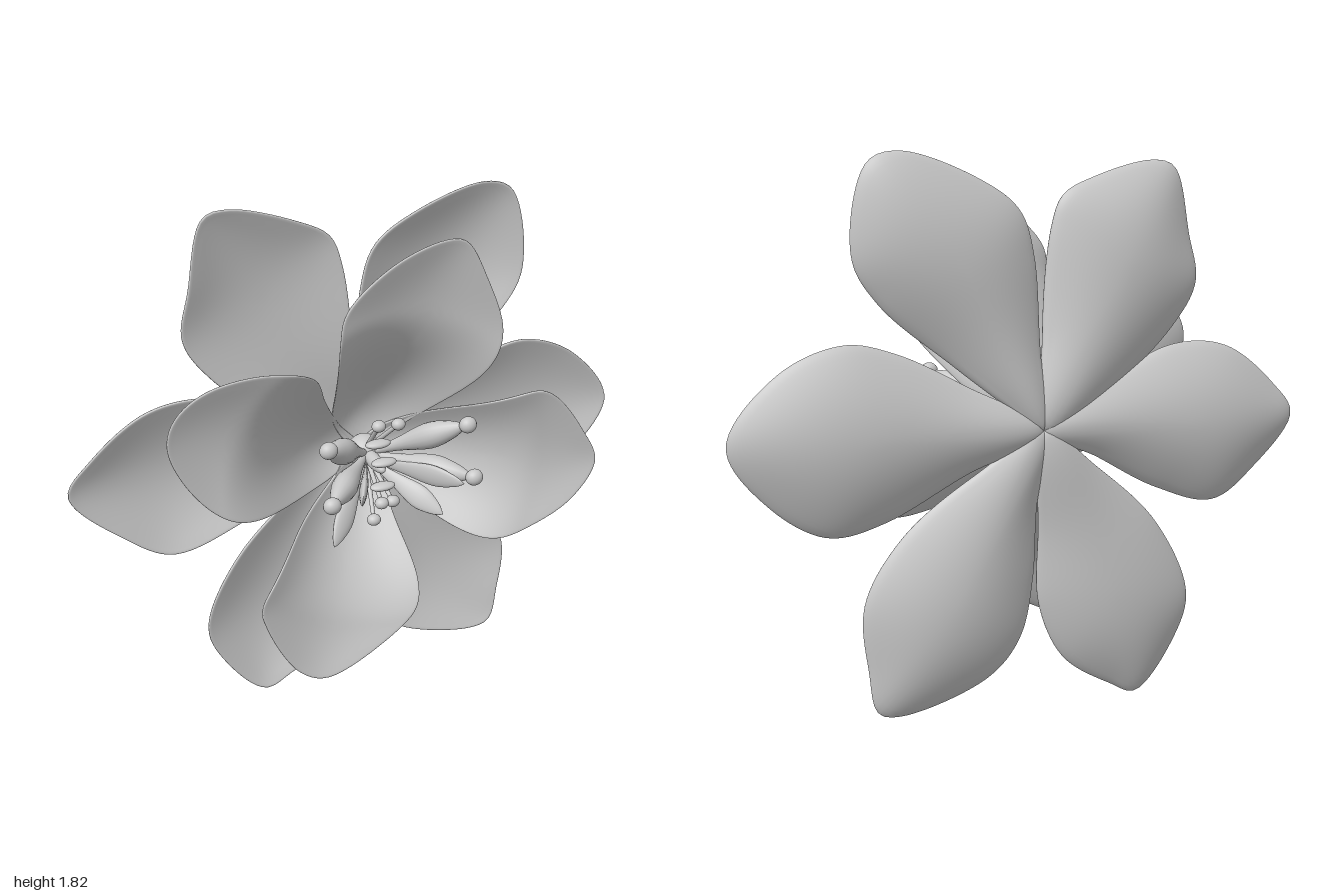
import * as THREE from 'three';
import { mergeVertices } from 'three/addons/utils/BufferGeometryUtils.js';

const HEART = new THREE.Vector3(0, 0.95, 0);

// Closed cupped shell: rings shrink from the rim to the middle on both faces.
function petalGeometry(points, rimZ, cup, thickness) {
  const pts = points.map(([x, y]) => new THREE.Vector3(x, y, 0));
  const mid = pts.reduce((a, p) => a.add(p), new THREE.Vector3()).divideScalar(pts.length);
  let rim = new THREE.CatmullRomCurve3(pts, true, 'centripetal').getSpacedPoints(96).slice(0, -1);
  if (THREE.ShapeUtils.area(rim) < 0) rim = rim.reverse();
  // Smooth inner height: zero on the rim, a soft dome inside
  const dome = (x, y) => 1 / rim.reduce((sum, q) => sum + 1 / ((q.x - x) ** 2 + (q.y - y) ** 2 + 1e-9), 0);
  const top = dome(mid.x, mid.y);
  const n = rim.length, rows = 32, pos = [], idx = [];
  for (let i = 0; i <= rows; i++) {
    const a = (i / rows) * Math.PI, c = Math.cos(a);
    const s = i === 0 || i === rows ? 0 : Math.sin(a);
    const half = thickness * Math.sign(c) * Math.abs(c) ** 0.5;
    for (const p of rim) {
      const x = mid.x + (p.x - mid.x) * s, y = mid.y + (p.y - mid.y) * s;
      const r = Math.hypot(x - HEART.x, y - HEART.y);
      pos.push(x, y, rimZ(r) - cup * dome(x, y) / top + half);
    }
  }
  for (let i = 0; i < rows; i++) {
    for (let j = 0; j < n; j++) {
      const k = (j + 1) % n, a = i * n + j, b = i * n + k, c = a + n, d = b + n;
      if (i > 0) idx.push(a, d, b);
      if (i < rows - 1) idx.push(a, c, d);
    }
  }
  const g = new THREE.BufferGeometry();
  g.setAttribute('position', new THREE.Float32BufferAttribute(pos, 3));
  g.setIndex(idx);
  const merged = mergeVertices(g, 1e-5);
  merged.computeVertexNormals();
  return merged;
}

const backPetals = [
  [[0, 0.95], [-0.01, 1.25], [-0.05, 1.6], [-0.09, 1.7], [-0.2, 1.76], [-0.42, 1.82], [-0.5, 1.8], [-0.56, 1.58], [-0.59, 1.42], [-0.5, 1.27], [-0.25, 1.06]],
  [[0, 0.95], [0, 1.2], [0.01, 1.5], [0.06, 1.65], [0.2, 1.745], [0.46, 1.82], [0.56, 1.78], [0.61, 1.5], [0.53, 1.36], [0.3, 1.17], [0.12, 1.03]],
  [[0, 0.95], [0.25, 1.1], [0.48, 1.21], [0.64, 1.24], [0.84, 1.16], [1, 0.95], [0.88, 0.76], [0.7, 0.65], [0.52, 0.68], [0.25, 0.82]],
  [[0, 0.95], [0.22, 0.82], [0.47, 0.62], [0.59, 0.42], [0.58, 0.2], [0.55, 0.06], [0.47, 0.04], [0.17, 0.13], [0.06, 0.25], [0.015, 0.45], [0.012, 0.7]],
  [[0, 0.95], [0, 0.6], [-0.01, 0.35], [-0.1, 0.16], [-0.28, 0.04], [-0.38, 0], [-0.53, 0.17], [-0.58, 0.33], [-0.45, 0.6], [-0.2, 0.82]],
  [[0, 0.95], [-0.2, 1.07], [-0.5, 1.21], [-0.72, 1.2], [-0.92, 1.06], [-1, 0.95], [-0.84, 0.76], [-0.68, 0.66], [-0.45, 0.72], [-0.2, 0.85]],
];

const frontPetals = [
  [[0.01, 0.92], [-0.1, 1.05], [-0.13, 1.2], [-0.17, 1.45], [-0.15, 1.55], [0, 1.68], [0.17, 1.74], [0.24, 1.73], [0.32, 1.6], [0.385, 1.42], [0.36, 1.3], [0.25, 1.13], [0.1, 0.97]],
  [[0, 0.94], [-0.1, 0.86], [-0.35, 0.86], [-0.55, 0.92], [-0.67, 1.05], [-0.73, 1.21], [-0.7, 1.3], [-0.6, 1.37], [-0.4, 1.39], [-0.25, 1.34], [-0.17, 1.2], [-0.08, 1.05]],
  [[0, 0.95], [0.15, 1.05], [0.35, 1.13], [0.53, 1.18], [0.6, 1.15], [0.72, 1], [0.78, 0.87], [0.7, 0.74], [0.55, 0.66], [0.38, 0.63], [0.2, 0.72], [0.09, 0.86]],
  [[0, 0.97], [0.07, 0.86], [0.09, 0.7], [0.12, 0.52], [0.1, 0.42], [-0.01, 0.32], [-0.24, 0.22], [-0.34, 0.27], [-0.45, 0.48], [-0.46, 0.57], [-0.3, 0.75], [-0.1, 0.86]],
];

export function createModel() {
  const flower = new THREE.Group();
  flower.name = 'flower';
  const grey = new THREE.MeshStandardMaterial({ color: 0xc8c8c8 });
  grey.name = 'pale grey';

  const add = (name, geometry, parent = flower) => {
    const m = new THREE.Mesh(geometry, grey);
    m.name = name;
    parent.add(m);
    return m;
  };
  const ball = (name, [x, y, z], [rx, ry, rz], parent = flower) => {
    const m = add(name, new THREE.SphereGeometry(1, 20, 14), parent);
    m.position.set(x, y, z);
    m.scale.set(rx, ry, rz);
  };
  // Lathed stalk between two points, profile = [radius, fraction along]; its broad side faces forward
  const stalk = (name, from, to, profile, flat, parent) => {
    const a = new THREE.Vector3(...from), dir = new THREE.Vector3(...to).sub(a);
    const curve = new THREE.SplineCurve(profile.map(([r, t]) => new THREE.Vector2(r, t * dir.length())));
    const outline = curve.getPoints(20).map((p) => p.setX(Math.max(p.x, 0)));
    const m = add(name, new THREE.LatheGeometry(outline, 16), parent);
    dir.normalize();
    const across = new THREE.Vector3().crossVectors(dir, new THREE.Vector3(0, 0, 1)).normalize();
    const depth = new THREE.Vector3().crossVectors(across, dir);
    m.position.copy(a);
    m.quaternion.setFromRotationMatrix(new THREE.Matrix4().makeBasis(across, dir, depth));
    m.scale.z = flat;
  };

  // Flat outer whorl
  const backRim = (r) => -0.157 - 0.055 * Math.exp(-((r / 0.3) ** 2));
  backPetals.forEach((p) => add('backPetal', petalGeometry(p, backRim, 0.076, 0.015)));

  // Raised inner whorl: a small bowl flaring out to flat tips
  const frontRim = (r) => -0.15 + 0.272 * THREE.MathUtils.smoothstep(r, 0.06, 0.57) + 0.025 * r;
  frontPetals.forEach((p) => add('frontPetal', petalGeometry(p, frontRim, 0.06, 0.013)));

  // Large stamens: plump spindle with a round tip
  const spindle = [[0.01, 0], [0.022, 0.3], [0.046, 0.62], [0.034, 0.82], [0.013, 0.95], [0, 1]];
  for (const tip of [[-0.23, 1.12, 0.17], [0.255, 1.12, 0.17], [-0.24, 0.95, 0.22], [0.26, 0.95, 0.22]]) {
    const g = new THREE.Group();
    g.name = 'stamen';
    flower.add(g);
    stalk('filament', [0, 0.95, -0.08], tip, spindle, 0.9, g);
    ball('anther', tip, [0.03, 0.028, 0.026], g);
  }

  // Slender pointed leaflets below and in front of the heart
  const blade = [[0.005, 0], [0.022, 0.35], [0.04, 0.68], [0.022, 0.9], [0, 1]];
  for (const tip of [[-0.2, 0.73, 0.12], [0.19, 0.78, 0.14], [-0.15, 0.95, 0.25], [0.21, 0.95, 0.25]]) {
    stalk('leaflet', [0, 0.93, -0.08], tip, blade, 0.35);
  }

  // Short inner stamens
  const thin = [[0.007, 0], [0.008, 0.5], [0.007, 1]];
  for (const tip of [[-0.01, 1.11, 0.05], [0.06, 1.105, 0.05], [-0.04, 0.78, 0.08], [-0.02, 0.85, 0.1], [0.02, 0.85, 0.1]]) {
    stalk('shortFilament', [0, 0.95, -0.1], tip, thin, 1);
    ball('shortAnther', tip, [0.024, 0.02, 0.022]);
  }

  // Pistil and the lobes around it
  ball('ovary', [0, 0.95, -0.1], [0.06, 0.06, 0.06]);
  ball('style', [0, 0.95, -0.02], [0.025, 0.025, 0.09]);
  for (const [y, z] of [[1.03, 0.02], [0.985, 0.07], [0.89, 0.06]]) ball('pistilLobe', [0, y, z], [0.045, 0.014, 0.025]);

  return flower;
}
